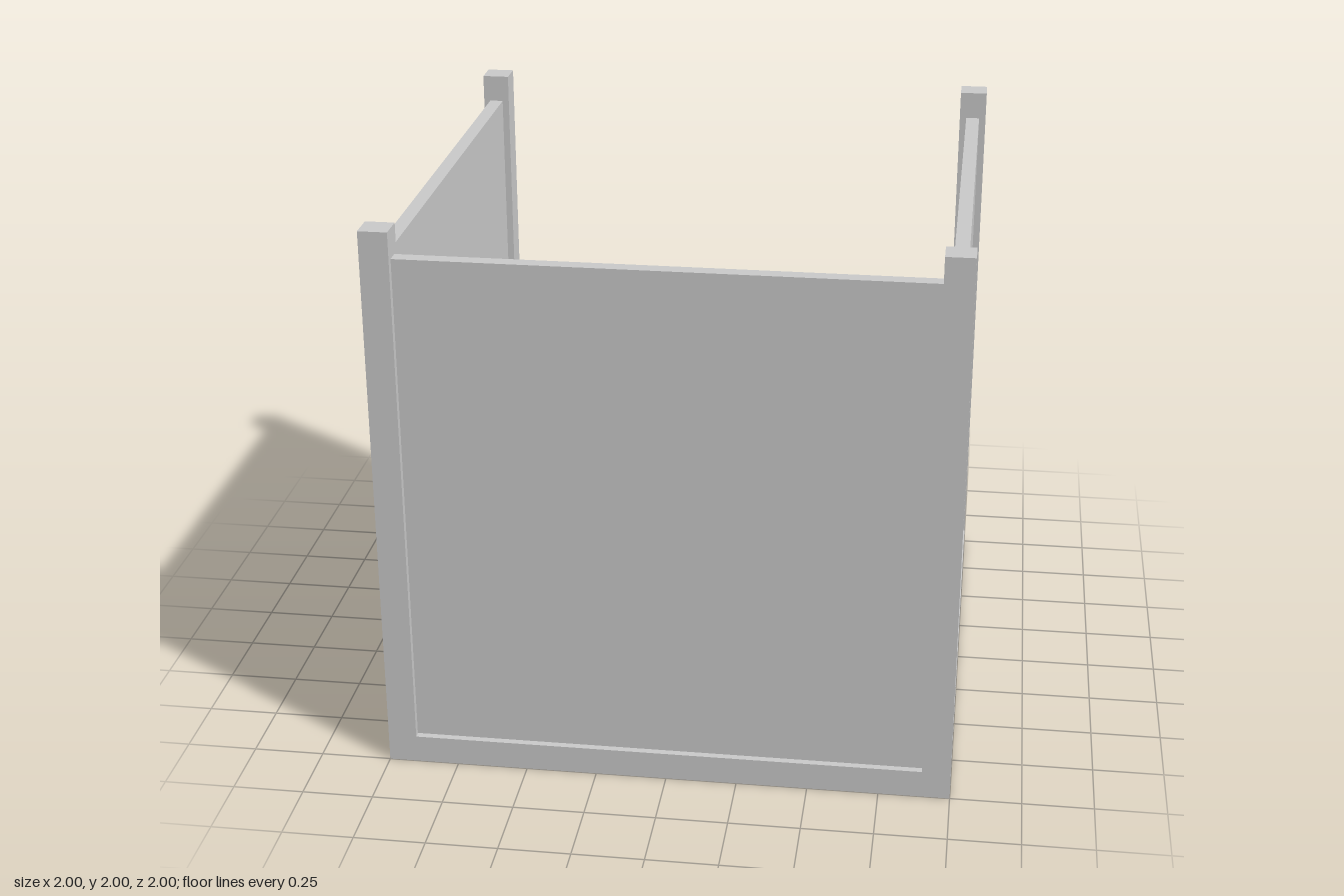
import * as THREE from 'three';

const SIZE = 2;        // overall cube
const POST = 0.1;      // post width and floor thickness
const PANEL = 0.05;    // wall thickness
const WALL_TOP = 1.9;

export function createModel() {
  const model = new THREE.Group();
  model.name = 'openBox';
  const material = new THREE.MeshStandardMaterial({ color: 0xcccccc, flatShading: true });

  const addBox = (name, w, h, d, x, bottom, z) => {
    const mesh = new THREE.Mesh(new THREE.BoxGeometry(w, h, d), material);
    mesh.name = name;
    mesh.position.set(x, bottom + h / 2, z);
    model.add(mesh);
  };

  const edge = SIZE / 2 - POST / 2;   // centre line of posts and walls
  const span = SIZE - 2 * POST;       // clear width between posts
  const wallHeight = WALL_TOP - POST;

  // Floor slab
  addBox('floor', SIZE, POST, SIZE, 0, 0, 0);

  // Corner posts and side walls, mirrored left and right
  for (const [side, s] of [['left', 1], ['right', -1]]) {
    addBox(`${side}FrontPost`, POST, SIZE - POST, POST, s * edge, POST, edge);
    addBox(`${side}BackPost`, POST, SIZE - POST, POST, s * edge, POST, -edge);
    addBox(`${side}Wall`, PANEL, wallHeight, span, s * edge, POST, 0);
  }

  // Front wall; the back stays open
  addBox('frontWall', span, wallHeight, PANEL, 0, POST, edge);

  return model;
}
